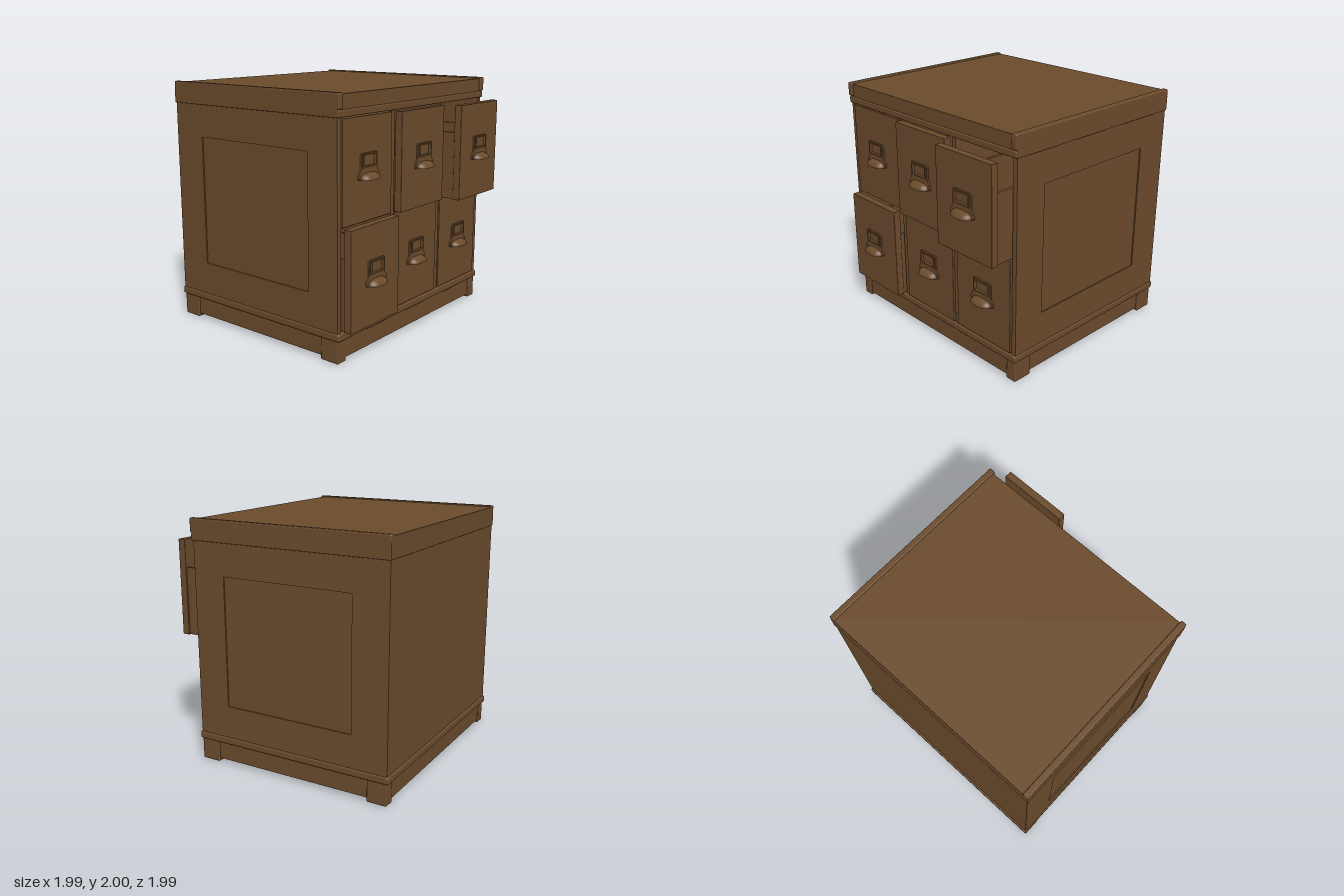
import * as THREE from 'three';
import { RoundedBoxGeometry } from 'three/addons/geometries/RoundedBoxGeometry.js';

const wood = new THREE.MeshStandardMaterial({ color: 0x6b4b2c, side: THREE.DoubleSide });
wood.name = 'brown wood';

function add(parent, name, geometry) {
  const mesh = new THREE.Mesh(geometry, wood);
  mesh.name = name;
  parent.add(mesh);
  return mesh;
}

// Box given by its limits on each axis; r rounds the edges
function block(parent, name, [x0, x1], [y0, y1], [z0, z1], r = 0) {
  const size = [x1 - x0, y1 - y0, z1 - z0];
  const geometry = r ? new RoundedBoxGeometry(...size, 2, r) : new THREE.BoxGeometry(...size);
  const mesh = add(parent, name, geometry);
  mesh.position.set((x0 + x1) / 2, (y0 + y1) / 2, (z0 + z1) / 2);
  return mesh;
}

function rect(Type, x0, x1, y0, y1) {
  const s = new Type();
  s.moveTo(x0, y0);
  s.lineTo(x1, y0);
  s.lineTo(x1, y1);
  s.lineTo(x0, y1);
  s.closePath();
  return s;
}

// Label frame, lower flange and screws, and the hollow cup pull
function makeHandle() {
  const handle = new THREE.Group();
  handle.name = 'handle';

  const plate = new THREE.Shape();
  plate.moveTo(-0.115, 0);
  plate.lineTo(0.115, 0);
  plate.quadraticCurveTo(0.13, 0.02, 0.118, 0.045);
  plate.quadraticCurveTo(0.1, 0.06, 0.098, 0.08);
  plate.lineTo(0.098, 0.18);
  plate.quadraticCurveTo(0.098, 0.195, 0.083, 0.195);
  plate.lineTo(-0.083, 0.195);
  plate.quadraticCurveTo(-0.098, 0.195, -0.098, 0.18);
  plate.lineTo(-0.098, 0.08);
  plate.quadraticCurveTo(-0.1, 0.06, -0.118, 0.045);
  plate.quadraticCurveTo(-0.13, 0.02, -0.115, 0);
  plate.holes.push(rect(THREE.Path, -0.073, 0.073, 0.1, 0.18));
  add(handle, 'backPlate', new THREE.ExtrudeGeometry(plate, { depth: 0.013, bevelEnabled: false }));

  const frame = rect(THREE.Shape, -0.086, 0.086, 0.088, 0.19);
  frame.holes.push(rect(THREE.Path, -0.073, 0.073, 0.1, 0.18));
  add(handle, 'labelFrame', new THREE.ExtrudeGeometry(frame, { depth: 0.022, bevelEnabled: false }));

  for (const side of [-1, 1]) {
    const screw = add(handle, 'screw', new THREE.SphereGeometry(0.012, 12, 6));
    screw.position.set(side * 0.113, 0.025, 0.012);
    screw.scale.z = 0.6;
  }

  // Quarter dome squared off along its width
  const cup = new THREE.SphereGeometry(1, 24, 8, 0, Math.PI, 0, Math.PI / 2);
  const p = cup.attributes.position;
  for (let i = 0; i < p.count; i++) {
    const x = p.getX(i);
    p.setXYZ(i, Math.sign(x) * Math.abs(x) ** 0.6 * 0.105, p.getY(i) * 0.05, p.getZ(i) * 0.073);
  }
  cup.computeVertexNormals();
  add(handle, 'cupPull', cup);
  return handle;
}

// Open-topped drawer, its front face at z = 0 and its bottom at y = 0
function makeDrawer() {
  const drawer = new THREE.Group();
  drawer.name = 'drawer';
  block(drawer, 'drawerFront', [-0.296, 0.296], [0, 0.782], [-0.063, 0], 0.005);
  for (const s of [-1, 1]) {
    const x = [s * 0.285, s * 0.26].sort((a, b) => a - b);
    block(drawer, 'drawerSide', x, [0.004, 0.557], [-1.55, -0.06]);
  }
  block(drawer, 'drawerBottom', [-0.26, 0.26], [0.004, 0.03], [-1.55, -0.06]);
  block(drawer, 'drawerBack', [-0.26, 0.26], [0.03, 0.557], [-1.55, -1.525]);
  const handle = makeHandle();
  handle.position.y = 0.318;
  drawer.add(handle);
  return drawer;
}

export function createModel() {
  const model = new THREE.Group();
  model.name = 'drawerCabinet';

  // Side walls with a shallow sunken panel
  const wall = rect(THREE.Shape, -0.73, 0.978, 0.235, 1.825);
  wall.holes.push(rect(THREE.Path, -0.45, 0.68, 0.505, 1.565));
  const wallGeometry = new THREE.ExtrudeGeometry(wall, { depth: 0.04, bevelEnabled: false });
  wallGeometry.rotateY(Math.PI / 2);
  for (const s of [-1, 1]) {
    add(model, 'sideWall', wallGeometry).position.x = s > 0 ? 0.945 : -0.985;
    const panel = block(model, 'sidePanel', [-0.014, 0.014], [0.505, 1.565], [-0.68, 0.45]);
    panel.position.x = s * 0.961;
  }

  // Back, dividers and shelf
  block(model, 'back', [-0.945, 0.945], [0.235, 1.825], [-0.978, -0.945]);
  for (const s of [-1, 1]) {
    const d = block(model, 'divider', [-0.021, 0.021], [0.235, 1.825], [-0.945, 0.73]);
    d.position.x = s * 0.323;
  }
  block(model, 'shelf', [-0.945, 0.945], [1.022, 1.032], [-0.945, 0.715]);

  // Top board, front strip and raised side rails
  block(model, 'topBoard', [-0.95, 0.95], [1.825, 1.99], [-0.985, 0.738], 0.005);
  block(model, 'frontStrip', [-0.993, 0.993], [1.825, 1.88], [0.6, 0.75], 0.012);
  for (const s of [-1, 1]) {
    const rail = block(model, 'sideRail', [-0.025, 0.025], [1.885, 2], [-0.985, 0.755], 0.01);
    rail.position.x = s * 0.97;
    const lower = block(model, 'lowerSideRail', [-0.025, 0.025], [1.825, 1.95], [-0.985, 0.738], 0.006);
    lower.position.x = s * 0.97;
  }

  // Base moulding, skirts and feet
  block(model, 'baseMoulding', [-0.995, 0.995], [0.178, 0.24], [-0.993, 0.747], 0.015);
  for (const s of [-1, 1]) {
    const side = block(model, 'sideSkirt', [-0.02, 0.02], [0.028, 0.18], [-0.94, 0.7]);
    side.position.x = s * 0.95;
    const cleat = block(model, 'sideCleat', [-0.025, 0.025], [0.13, 0.18], [-0.92, 0.68]);
    cleat.position.x = s * 0.905;
    const front = block(model, 'endSkirt', [-0.94, 0.94], [0.028, 0.18], [-0.02, 0.02]);
    front.position.z = -0.122 + s * 0.825;
    const endCleat = block(model, 'endCleat', [-0.9, 0.9], [0.13, 0.18], [-0.025, 0.025]);
    endCleat.position.z = -0.122 + s * 0.78;
    for (const end of [-1, 1]) {
      const foot = block(model, 'foot', [-0.048, 0.048], [0, 0.185], [-0.083, 0.083], 0.01);
      foot.position.x = s * 0.937;
      foot.position.z = -0.122 + end * 0.77;
    }
  }

  // Drawers: front face depth for each column, bottom row then top row
  const pulled = [[0.82, 0.742, 0.742], [0.742, 0.797, 0.927]];
  pulled.forEach((row, j) => row.forEach((z, i) => {
    const drawer = makeDrawer();
    drawer.position.set([-0.646, -0.003, 0.64][i], [0.246, 1.034][j], z);
    model.add(drawer);
  }));
  return model;
}
